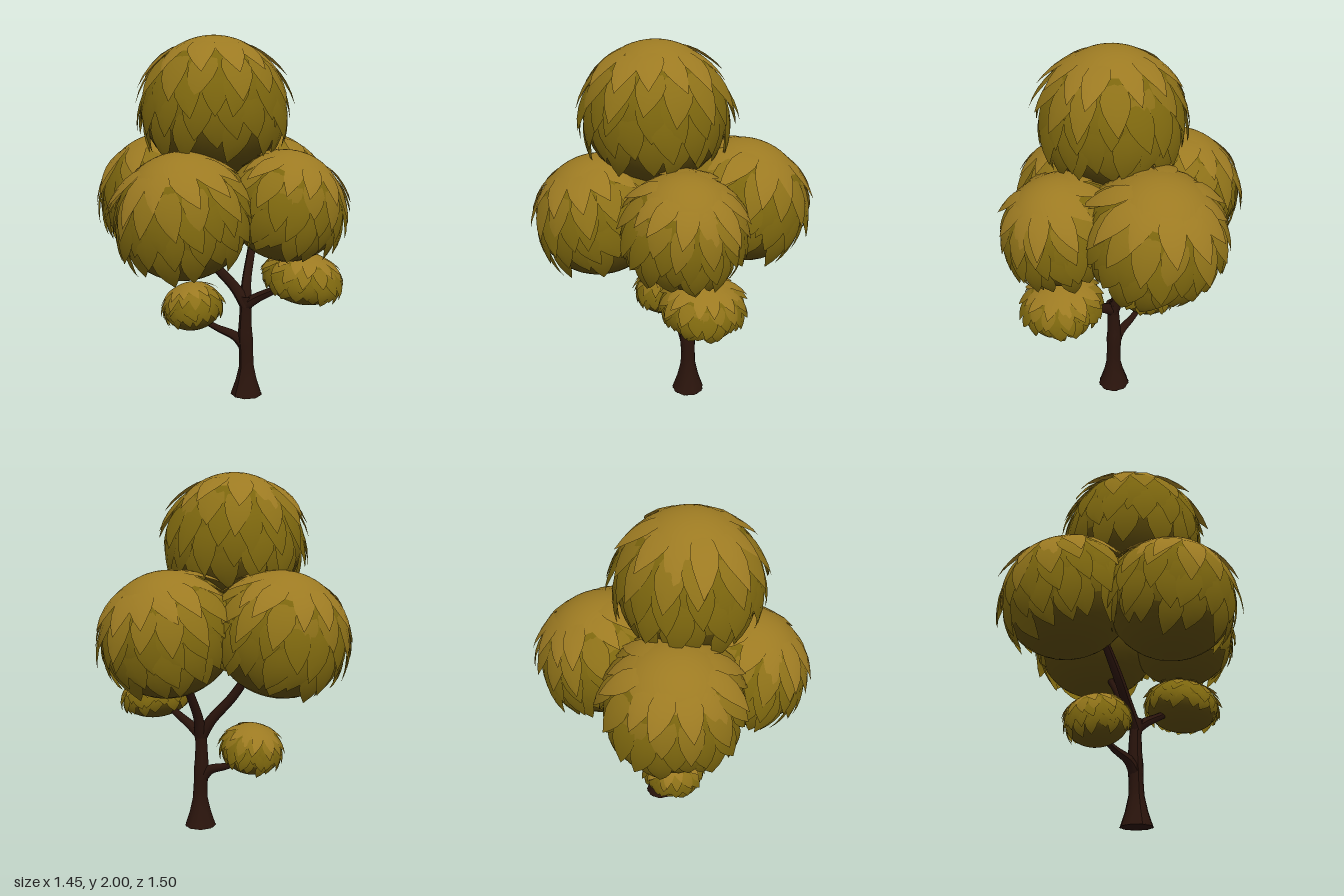
import * as THREE from 'three';
import { mergeGeometries } from 'three/addons/utils/BufferGeometryUtils.js';

const material = (color) => new THREE.MeshStandardMaterial({ color, roughness: 0.9, side: THREE.DoubleSide });

// small seeded generator, values in -1..1
function makeJitter(seed) {
  return () => {
    seed = (seed * 16807) % 2147483647;
    return (seed / 2147483647) * 2 - 1;
  };
}

// point on the unit foliage shape: round on top, a little flatter below
function onBlob(theta, phi, r) {
  const y = Math.cos(theta) * r;
  return [Math.sin(theta) * Math.sin(phi) * r, y < 0 ? y * 0.93 : y, Math.sin(theta) * Math.cos(phi) * r];
}

// one pointed leaf lying on the blob from its root downwards, tip lifted
const LEAF_WIDTH = [0.5, 0.84, 1, 0.84, 0.48, 0.02];
function leaf(theta, phi, length, width, lift, skew) {
  const g = new THREE.PlaneGeometry(1, 1, 2, 5);
  const p = g.attributes.position;
  for (let i = 0; i < p.count; i++) {
    const v = 0.5 - p.getY(i);
    const u = p.getX(i) * LEAF_WIDTH[Math.round(v * 5)];
    const t = theta + v * length;
    const r = 0.99 + lift * v - 0.05 * Math.abs(u) * v;
    p.setXYZ(i, ...onBlob(t, phi + (u * width + skew * v * v) / Math.max(Math.sin(t), 0.35), r));
  }
  g.computeVertexNormals();
  return g;
}

// rings of leaves from the crown down: root angle, leaf count, length, width, colour index
const RINGS = [
  [0.42, 12, 0.76, 0.35, 0], [0.76, 14, 0.68, 0.38, 1], [1.04, 16, 0.66, 0.37, 2],
  [1.33, 16, 0.63, 0.38, 2], [1.6, 16, 0.6, 0.37, 2],
];

// smooth core bands: name, start angle, end angle, colour index
const CORE = [['crown', 0, 0.7, 0], ['body', 0.7, 1.85, 2], ['underside', 1.85, Math.PI, 3]];

function foliageParts() {
  const jitter = makeJitter(77);
  const parts = RINGS.map(([theta, count, length, width, tone], ring) => {
    const leaves = [];
    for (let i = 0; i < count; i++) {
      const phi = ((i + (ring % 2) * 0.5 + jitter() * 0.2) / count) * Math.PI * 2;
      leaves.push(leaf(theta + jitter() * 0.06, phi, length + jitter() * 0.08,
        width + jitter() * 0.03, 0.12 + jitter() * 0.06, jitter() * 0.12));
    }
    return { name: 'leafRing' + (ring + 1), geometry: mergeGeometries(leaves), tone };
  });
  CORE.forEach(([name, start, end, tone]) => {
    const geometry = new THREE.SphereGeometry(1, 28, 8, 0, Math.PI * 2, start, end - start);
    const p = geometry.attributes.position;
    for (let i = 0; i < p.count; i++) if (p.getY(i) < 0) p.setY(i, p.getY(i) * 0.93);
    parts.push({ name, geometry, tone });
  });
  return parts;
}

// tapered limb: a tube whose rings are scaled by interpolated radii
function limb(name, points, radii, mat) {
  const curve = new THREE.CatmullRomCurve3(points.map((p) => new THREE.Vector3(...p)));
  const n = 14, sides = 9;
  const g = new THREE.TubeGeometry(curve, n, 1, sides, false);
  const p = g.attributes.position;
  const v = new THREE.Vector3();
  for (let i = 0; i <= n; i++) {
    const c = curve.getPointAt(i / n);
    const s = (i / n) * (radii.length - 1);
    const k = Math.min(Math.floor(s), radii.length - 2);
    const r = THREE.MathUtils.lerp(radii[k], radii[k + 1], s - k);
    for (let j = 0; j <= sides; j++) {
      const id = i * (sides + 1) + j;
      v.fromBufferAttribute(p, id).sub(c).multiplyScalar(r).add(c);
      p.setXYZ(id, v.x, v.y, v.z);
    }
  }
  g.computeVertexNormals();
  const mesh = new THREE.Mesh(g, mat);
  mesh.name = name;
  return mesh;
}

export function createModel() {
  const model = new THREE.Group();
  model.name = 'tree';
  const bark = material(0x2a140c);
  const tones = [0x9c7a22, 0x8c7018, 0x7c660e, 0x5c4a0a].map(material);

  // trunk and branches
  const wood = new THREE.Group();
  wood.name = 'wood';
  wood.add(
    limb('trunk', [[0.12, 0, -0.1], [0.12, 0.2, -0.1], [0.113, 0.38, -0.095], [0.12, 0.58, -0.095]],
      [0.09, 0.062, 0.043, 0.04, 0.044, 0.037, 0.034, 0.038], bark),
    limb('lowBranch', [[0.12, 0.27, -0.1], [0.07, 0.335, -0.065], [-0.03, 0.375, -0.01], [-0.13, 0.43, 0.05]],
      [0.036, 0.026, 0.018, 0.015], bark),
    limb('sideBranch', [[0.11, 0.52, -0.09], [0.18, 0.575, -0.12], [0.3, 0.645, -0.165], [0.42, 0.72, -0.2]],
      [0.034, 0.026, 0.02, 0.016], bark),
    limb('leftLeaningBranch', [[0.12, 0.52, -0.095], [0.07, 0.62, -0.06], [-0.02, 0.76, 0.025], [-0.12, 0.93, 0.09]],
      [0.035, 0.029, 0.027, 0.022], bark),
    limb('backBranch', [[0.12, 0.52, -0.095], [0.085, 0.64, -0.13], [0.045, 0.78, -0.2], [0, 0.93, -0.28]],
      [0.035, 0.027, 0.024, 0.02], bark));
  const foot = new THREE.Mesh(new THREE.CircleGeometry(0.09, 9), bark);
  foot.name = 'trunkFoot';
  foot.rotation.x = Math.PI / 2;
  foot.position.set(0.12, 0.001, -0.1);
  wood.add(foot);
  model.add(wood);

  // foliage clumps: name, centre, horizontal radius, vertical radius, turn, outward lean
  const parts = foliageParts();
  const up = new THREE.Vector3(0, 1, 0);
  [
    ['topFoliage', [0.05, 1.62, 0.085], 0.375, 0.378, 0, 0],
    ['rightFoliage', [-0.335, 1.135, 0.12], 0.352, 0.343, 1.1, 0.36],
    ['backFoliage', [-0.02, 1.135, -0.365], 0.355, 0.343, 2.3, 0.36],
    ['frontFoliage', [0.145, 1.08, 0.375], 0.338, 0.336, 0.5, 0.3],
    ['leftFoliage', [0.4, 1.115, -0.1], 0.303, 0.3, 3.7, 0.36],
    ['smallLeftFoliage', [0.44, 0.725, -0.2], 0.208, 0.142, 4.6, 0.2],
    ['smallRightFoliage', [-0.15, 0.49, 0.07], 0.168, 0.144, 5.3, 0.2],
  ].forEach(([name, centre, r, h, turn, lean]) => {
    const clump = new THREE.Group();
    clump.name = name;
    parts.forEach((part) => {
      const mesh = new THREE.Mesh(part.geometry, tones[part.tone]);
      mesh.name = part.name;
      clump.add(mesh);
    });
    clump.position.set(...centre);
    clump.scale.set(r, h, r);
    const axis = new THREE.Vector3(centre[0] - 0.06, 0, centre[2]).setLength(lean).add(up).normalize();
    clump.quaternion.setFromUnitVectors(up, axis);
    clump.rotateY(turn);
    model.add(clump);
  });
  return model;
}
